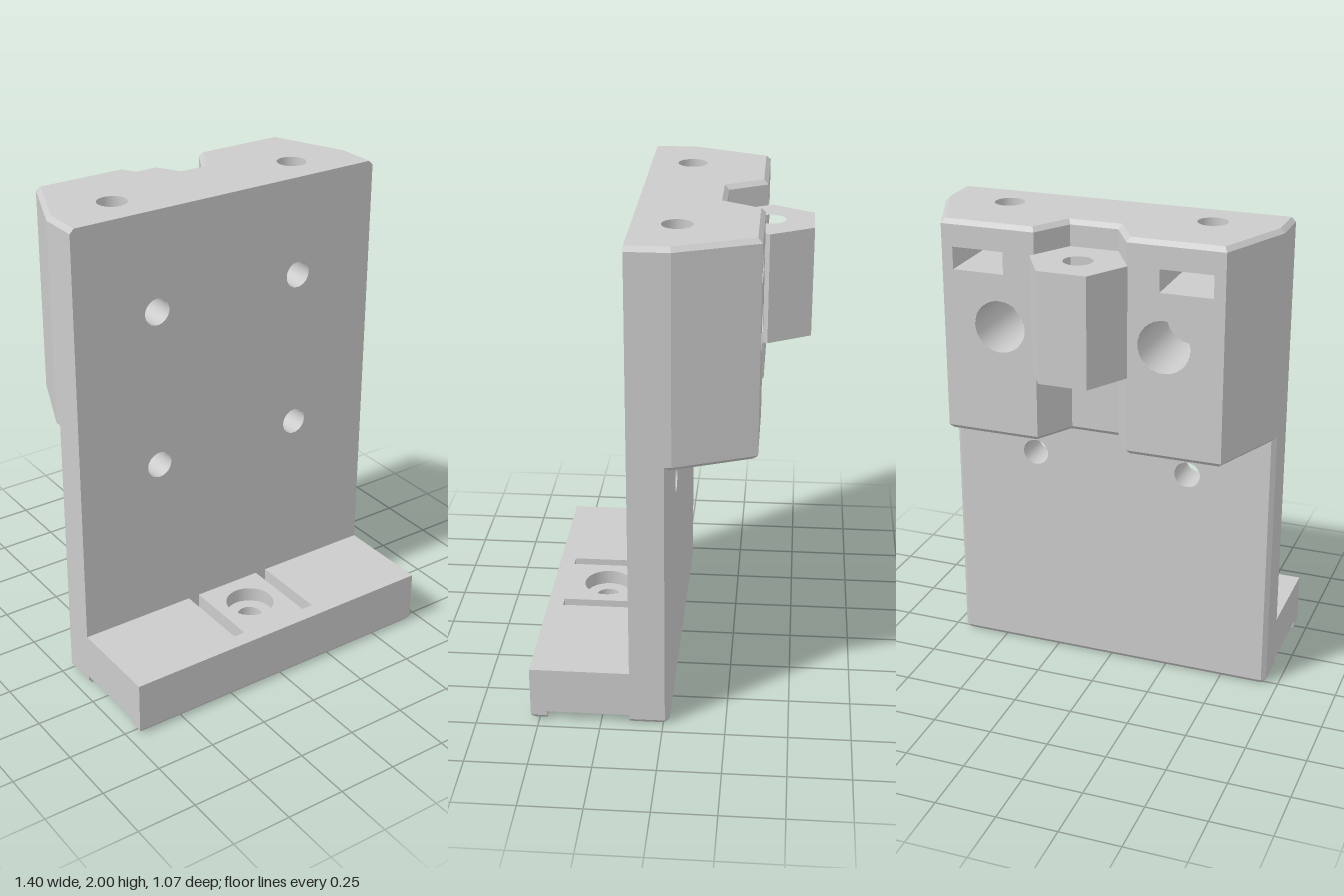
import * as THREE from 'three';

const grey = new THREE.MeshStandardMaterial({ color: 0xcccccc });
const greyBoth = new THREE.MeshStandardMaterial({ color: 0xcccccc, side: THREE.DoubleSide });
const C = 0.018; // edge chamfer
const FRONT = 0.135, PLATE_BACK = -0.025, BLOCK_BACK = -0.352;

function shapeOf(points, holes = []) {
  const shape = new THREE.Shape(points.map(([x, y]) => new THREE.Vector2(x, y)));
  for (const [x, y, r, w, h] of holes) {
    const path = new THREE.Path();
    if (r) path.absarc(x, y, r, 0, Math.PI * 2, true);
    else path.setFromPoints([[-1, -1], [-1, 1], [1, 1], [1, -1]].map(
      ([a, b]) => new THREE.Vector2(x + a * w / 2, y + b * h / 2)));
    shape.holes.push(path);
  }
  return shape;
}

// Move each edge of an (x, z) ring inward; edges lying on a kept z stay put
function inset(ring, d, keepZ) {
  const n = ring.length;
  const lines = ring.map(([x, z], i) => {
    const [x2, z2] = ring[(i + 1) % n];
    const len = Math.hypot(x2 - x, z2 - z);
    const nx = -(z2 - z) / len, nz = (x2 - x) / len;
    return [nx, nz, nx * x + nz * z - (z === z2 && z === keepZ ? 0 : d)];
  });
  return ring.map((_, i) => {
    const [a, b, e] = lines[(i + n - 1) % n], [c, f, g] = lines[i];
    const det = a * f - b * c;
    return [(e * f - b * g) / det, (a * g - e * c) / det];
  });
}

// Walls through stacked rings [points, y], leaving out the edges in skip
function walls(levels, skip = []) {
  const pos = [];
  for (let k = 0; k + 1 < levels.length; k++) {
    const [p, y0] = levels[k], [q, y1] = levels[k + 1];
    for (let i = 0; i < p.length; i++) {
      if (skip.includes(i) && p === q) continue;
      const j = (i + 1) % p.length;
      const a = [p[i][0], y0, p[i][1]], b = [p[j][0], y0, p[j][1]];
      const c = [q[j][0], y1, q[j][1]], d = [q[i][0], y1, q[i][1]];
      pos.push(...a, ...b, ...c, ...a, ...c, ...d);
    }
  }
  const g = new THREE.BufferGeometry();
  g.setAttribute('position', new THREE.Float32BufferAttribute(pos, 3));
  g.computeVertexNormals();
  return g;
}

// Flat horizontal face of a ring
function cap(ring, y, up, holes = []) {
  const s = up ? -1 : 1;
  return new THREE.ShapeGeometry(shapeOf(ring.map(([x, z]) => [x, s * z]),
    holes.map(([x, z, r]) => [x, s * z, r])), 24).rotateX(s * Math.PI / 2).translate(0, y, 0);
}

// Upright prism over an (x, z) ring
function prism(ring, y0, y1, holes = []) {
  return new THREE.ExtrudeGeometry(shapeOf(ring.map(([x, z]) => [x, -z]), holes.map(([x, z, r]) => [x, -z, r])),
    { depth: y1 - y0, bevelEnabled: false, curveSegments: 24 }).rotateX(-Math.PI / 2).translate(0, y0, 0);
}

export function createModel() {
  const model = new THREE.Group();
  const add = (name, geometry, material = grey) => {
    const mesh = new THREE.Mesh(geometry, material);
    mesh.name = name;
    model.add(mesh);
    return mesh;
  };
  const boreZ = (name, x, y, r, z0, z1) => add(name,
    new THREE.CylinderGeometry(r, r, z1 - z0, 32, 1, true).rotateX(Math.PI / 2).translate(x, y, (z0 + z1) / 2), greyBoth);

  const holeX = 0.335, lowY = 0.925, highY = 1.59, r = 0.055, R = 0.105;
  const slotX = 0.42, slotY = 1.848, slotW = 0.21, slotH = 0.09, slotEnd = 0.06;

  // Front face with its four screw holes
  const fx = 0.7 - C;
  add('frontFace', new THREE.ShapeGeometry(shapeOf(
    [[fx, 0], [0.7, C], [0.7, 2 - C], [fx, 2], [-fx, 2], [-0.7, 2 - C], [-0.7, C], [-fx, 0]],
    [-1, 1].flatMap(s => [[s * holeX, lowY, r], [s * holeX, highY, r]])), 24).translate(0, 0, FRONT));

  // Lower plate
  const plate = [[0.7, FRONT], [0.7, PLATE_BACK + C], [0.7 - C, PLATE_BACK],
    [C - 0.7, PLATE_BACK], [-0.7, PLATE_BACK + C], [-0.7, FRONT]];
  const plateLow = inset(plate, C * 0.8, FRONT);
  const plateTop = 1.13 + C;
  add('plateSides', walls([[plateLow, 0], [plate, C], [plate, plateTop]], [2, 5]));
  add('plateBottom', cap(plateLow, 0, false));
  const bx = 0.7 - C;
  add('plateBack', new THREE.ShapeGeometry(shapeOf(
    [[-bx, C], [bx, C], [bx, plateTop], [-bx, plateTop]],
    [[-holeX, lowY, r], [holeX, lowY, r]]), 24).rotateY(Math.PI).translate(0, 0, PLATE_BACK));

  // Upper block with tapered sides and a half-hexagon channel at the back
  const hexZ = -0.37, hexR = 0.196, hexIn = hexZ + hexR * Math.sqrt(3) / 2;
  const mouth = hexR - (BLOCK_BACK - hexZ) / Math.sqrt(3);
  const half = [[0.7, FRONT], [0.7, -0.035], [0.57, BLOCK_BACK], [mouth, BLOCK_BACK], [hexR / 2, hexIn]];
  const block = [...half, ...half.map(([x, z]) => [-x, z]).reverse()];
  const blockIn = inset(block, C, FRONT);
  add('blockSides', walls([[blockIn, 1.13], [block, 1.13 + C], [block, 2 - C], [blockIn, 2]], [2, 6, 9]));
  add('blockTop', cap(blockIn, 2, true, [[-slotX, -0.035, 0.06], [slotX, -0.035, 0.06]]));
  add('blockBottom', cap(blockIn, 1.13, false));

  for (const s of [-1, 1]) {
    const y0 = 1.13 + C, y1 = 2 - C;
    add('blockBack', new THREE.ShapeGeometry(shapeOf(
      [[s * mouth, y0], [s * 0.57, y0], [s * 0.57, y1], [s * mouth, y1]].map(([x, y]) => [-x, y]),
      [[-s * holeX, highY, R], [-s * slotX, slotY, 0, slotW, slotH]]), 24)
      .rotateY(Math.PI).translate(0, 0, BLOCK_BACK));

    // Screw holes; the upper ones are counterbored from the back
    boreZ('lowerScrewHole', s * holeX, lowY, r, PLATE_BACK, FRONT);
    boreZ('upperScrewHole', s * holeX, highY, r, 0, FRONT);
    boreZ('counterbore', s * holeX, highY, R, BLOCK_BACK, 0);
    add('counterboreFloor', new THREE.RingGeometry(r, R, 32).translate(s * holeX, highY, 0), greyBoth);

    // Nut slot and the vertical hole meeting it
    add('nutSlot', new THREE.CylinderGeometry(Math.SQRT1_2, Math.SQRT1_2, 1, 4, 1, true, Math.PI / 4)
      .rotateX(Math.PI / 2).scale(slotW, slotH, slotEnd - BLOCK_BACK).toNonIndexed()
      .translate(s * slotX, slotY, (slotEnd + BLOCK_BACK) / 2), greyBoth).geometry.computeVertexNormals();
    add('nutSlotEnd', new THREE.PlaneGeometry(slotW, slotH).translate(s * slotX, slotY, slotEnd), greyBoth);
    const holeEnd = slotY + slotH / 2;
    add('topHole', new THREE.CylinderGeometry(0.06, 0.06, 2 - holeEnd, 32, 1, true)
      .translate(s * slotX, (2 + holeEnd) / 2, -0.035), greyBoth);
  }

  // Hexagonal post with a through hole
  const hex = Array.from({ length: 6 }, (_, i) =>
    [hexR * Math.cos(i * Math.PI / 3), hexZ + hexR * Math.sin(i * Math.PI / 3)]);
  add('hexPost', prism(hex, 1.455, 1.897, [[0, hexZ, 0.058]]));

  // Foot: outer pads whose undersides curve up into the two slots
  const footTop = 0.232, footFront = 0.535, lip = 0.47, ceiling = 0.037, bend = 0.06;
  for (const s of [-1, 1]) {
    const pad = new THREE.Shape();
    pad.moveTo(s * 0.2, footTop);
    pad.lineTo(s * 0.2, ceiling + bend);
    pad.quadraticCurveTo(s * 0.2, ceiling, s * (0.2 + bend), ceiling);
    pad.lineTo(s * 0.7, ceiling);
    pad.lineTo(s * 0.7, footTop);
    add('footPad', new THREE.ExtrudeGeometry(pad, { depth: lip - FRONT, bevelEnabled: false }).translate(0, 0, FRONT));
  }

  // Foot centre with a counterbored hole
  const centre = [[0.15, lip], [0.15, FRONT], [-0.15, FRONT], [-0.15, lip]];
  add('footCentre', prism(centre, ceiling, 0.17, [[0, 0.3, 0.05]]));
  add('footCentreTop', prism(centre, 0.17, footTop, [[0, 0.3, 0.1]]));

  // Foot front lip, chamfered underneath
  const bar = [[0.7, footFront], [0.7, lip], [-0.7, lip], [-0.7, footFront]];
  const barLow = inset(bar, C * 0.8, lip);
  add('footLip', walls([[barLow, 0], [bar, C], [bar, footTop]]));
  add('footLipBottom', cap(barLow, 0, false));
  add('footLipTop', cap(bar, footTop, true));

  return model;
}
